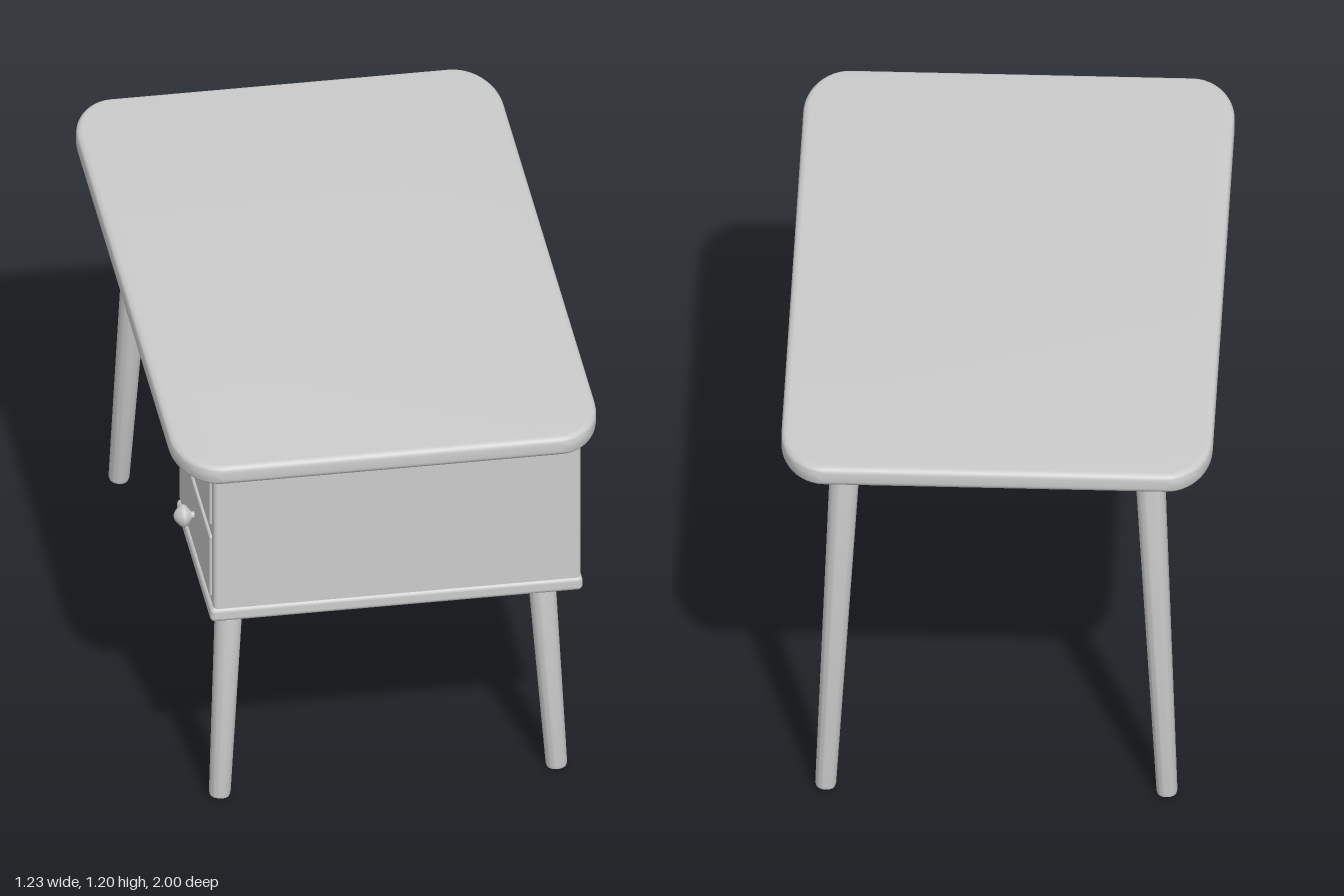
import * as THREE from 'three';
import { toCreasedNormals } from 'three/addons/utils/BufferGeometryUtils.js';
import { RoundedBoxGeometry } from 'three/addons/geometries/RoundedBoxGeometry.js';

const material = new THREE.MeshStandardMaterial({ color: 0xcccccc });

function add(parent, name, geometry) {
  const mesh = new THREE.Mesh(geometry, material);
  mesh.name = name;
  parent.add(mesh);
  return mesh;
}

// Rounded box given by its lowest and highest corners
function roundedBox(parent, name, min, max, radius) {
  const size = max.map((v, i) => v - min[i]);
  const mesh = add(parent, name, new RoundedBoxGeometry(...size, 4, radius));
  mesh.position.set(...max.map((v, i) => (v + min[i]) / 2));
  return mesh;
}

// Rounded rectangle whose corners are quarter ellipses
function tabletopGeometry() {
  const b = 0.018, hx = 0.615 - b, hz = 1 - b, rx = 0.11, rz = 0.18;
  const shape = new THREE.Shape();
  const h = Math.PI / 2;
  [[1, 1], [-1, 1], [-1, -1], [1, -1]].forEach(([sx, sz], i) => {
    for (let k = 0; k <= 12; k++) {
      const a = h * (i + k / 12);
      const x = sx * (hx - rx) + rx * Math.cos(a);
      const z = sz * (hz - rz) + rz * Math.sin(a);
      if (i + k === 0) shape.moveTo(x, z); else shape.lineTo(x, z);
    }
  });
  const geometry = new THREE.ExtrudeGeometry(shape, {
    depth: 0.06 - 2 * b, bevelSize: b, bevelThickness: b, bevelSegments: 5,
  });
  geometry.rotateX(-Math.PI / 2).translate(0, 1.14 + b, 0);
  return toCreasedNormals(geometry, 0.6);
}

// Tapered round leg from foot to top, with a softened foot
function addLeg(parent, name, foot, top, rFoot, rTop) {
  const a = new THREE.Vector3(...foot), dir = new THREE.Vector3(...top).sub(a);
  const L = dir.length();
  const profile = [[0, 0], [rFoot - 0.012, 0], [rFoot - 0.003, 0.004], [rFoot, 0.014], [rTop, L], [0, L]]
    .map(([r, y]) => new THREE.Vector2(r, y));
  const leg = add(parent, name, toCreasedNormals(new THREE.LatheGeometry(profile, 28).toNonIndexed(), 0.8));
  leg.position.copy(a);
  leg.quaternion.setFromUnitVectors(new THREE.Vector3(0, 1, 0), dir.normalize());
}

// Soft raised panel: a side profile of (z, y) points extruded along x
function panelGeometry(points, x0, x1, bevel) {
  const shape = new THREE.Shape(points.map(([z, y]) => new THREE.Vector2(-z, y)));
  const geometry = new THREE.ExtrudeGeometry(shape, {
    depth: x1 - x0 - 2 * bevel, bevelSize: bevel, bevelThickness: bevel,
    bevelOffset: -bevel, bevelSegments: 4,
  });
  geometry.rotateY(Math.PI / 2).translate(x0 + bevel, 0, 0);
  return toCreasedNormals(geometry, 0.9);
}

export function createModel() {
  const desk = new THREE.Group();
  desk.name = 'desk';

  add(desk, 'tabletop', tabletopGeometry());

  // Drawer cabinet under the front half
  const cabinet = new THREE.Group();
  cabinet.name = 'cabinet';
  desk.add(cabinet);
  roundedBox(cabinet, 'cabinetBody', [-0.5, 0.63, 0.305], [0.56, 1.15, 0.9], 0.012);
  roundedBox(cabinet, 'cabinetBase', [-0.51, 0.62, 0.3], [0.565, 0.665, 0.906], 0.014);

  // Drawers and knobs on one side
  const knobProfile = [[0, -0.02], [0.011, -0.02], [0.01, 0.012], [0.018, 0.018], [0.03, 0.027],
    [0.034, 0.036], [0.03, 0.045], [0.02, 0.055], [0.01, 0.062], [0, 0.064]]
    .map(([r, y]) => new THREE.Vector2(r, y));
  const knobGeometry = new THREE.LatheGeometry(knobProfile, 24).rotateZ(Math.PI / 2);
  [[0.925, 1.115, 0.995], [0.685, 0.89, 0.795]].forEach(([y0, y1, yKnob], i) => {
    roundedBox(cabinet, 'drawerFront' + (i + 1), [-0.508, y0, 0.34], [-0.48, y1, 0.87], 0.008);
    add(cabinet, 'drawerKnob' + (i + 1), knobGeometry).position.set(-0.503, yKnob, 0.6);
  });

  // Soft raised panel with a pad on the inner face
  add(cabinet, 'innerPanel', panelGeometry([[0.33, 0.65], [0.295, 0.65], [0.282, 0.7], [0.27, 0.77],
    [0.266, 0.96], [0.27, 1.135], [0.33, 1.135]], 0.2, 0.555, 0.014));
  add(cabinet, 'innerPad', panelGeometry([[0.28, 0.77], [0.25, 0.785], [0.24, 0.83], [0.238, 0.91],
    [0.247, 0.955], [0.28, 0.97]], 0.27, 0.42, 0.01));

  // Short legs under the cabinet, long legs under the tabletop
  addLeg(desk, 'frontRightLeg', [-0.475, 0, 0.848], [-0.437, 0.64, 0.787], 0.031, 0.04);
  addLeg(desk, 'frontLeftLeg', [0.498, 0, 0.848], [0.462, 0.64, 0.787], 0.031, 0.04);
  for (const [side, name] of [[-1, 'backRightLeg'], [1, 'backLeftLeg']]) {
    addLeg(desk, name, [side * 0.487, 0, -0.855], [side * 0.43, 1.155, -0.76], 0.03, 0.044);
  }
  return desk;
}
